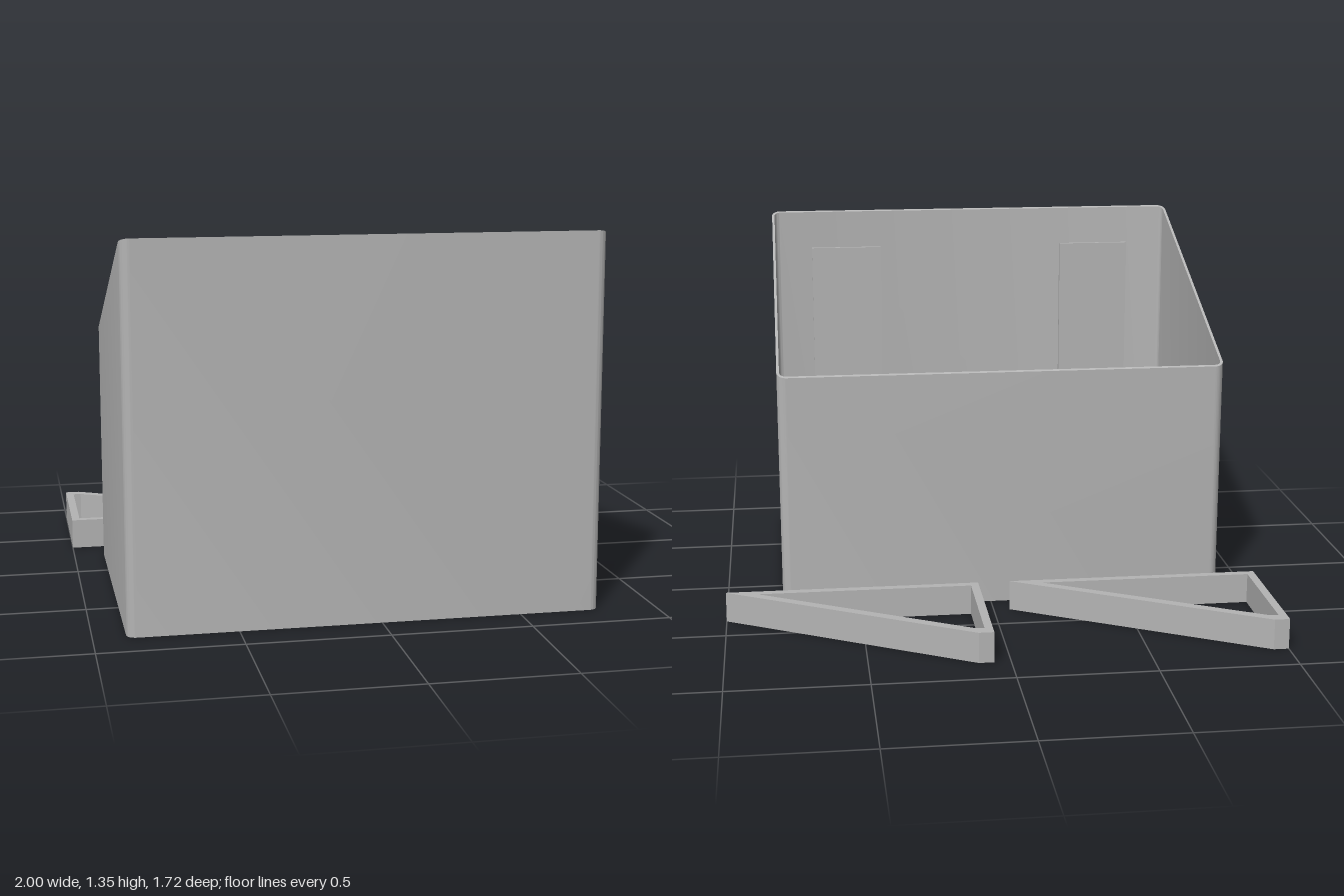
import * as THREE from 'three';
import { toCreasedNormals } from 'three/addons/utils/BufferGeometryUtils.js';

const X0 = -0.885, X1 = 0.79, Z0 = -0.263, Z1 = 0.858; // bin footprint
const WALL = 0.01, RADIUS = 0.035;

// Height of the sloping rim at a given depth
const rimHeight = (z) => 0.9 + (z - Z0) * (1.35 - 0.9) / (Z1 - Z0);

// Rounded rectangle of the footprint, drawn with y = -z
function footprint(Type, inset) {
  const r = RADIUS - inset;
  const l = X0 + inset, R = X1 - inset, b = -Z1 + inset, t = -Z0 - inset;
  const p = new Type();
  p.moveTo(l + r, b);
  p.lineTo(R - r, b);
  p.absarc(R - r, b + r, r, -Math.PI / 2, 0, false);
  p.lineTo(R, t - r);
  p.absarc(R - r, t - r, r, 0, Math.PI / 2, false);
  p.lineTo(l + r, t);
  p.absarc(l + r, t - r, r, Math.PI / 2, Math.PI, false);
  p.lineTo(l, b + r);
  p.absarc(l + r, b + r, r, Math.PI, Math.PI * 1.5, false);
  return p;
}

// Extrude a plan shape (y = -z) upwards from the ground
function extrudeUp(shape, depth) {
  return new THREE.ExtrudeGeometry(shape, { depth, bevelEnabled: false, curveSegments: 8 })
    .rotateX(-Math.PI / 2);
}

const planPoints = (list) => list.map(([x, z]) => new THREE.Vector2(x, -z));

export function createModel() {
  const model = new THREE.Group();
  const grey = new THREE.MeshStandardMaterial({ color: 0xb4b4b4 });
  grey.name = 'grey';
  const add = (name, geometry, parent = model) => {
    const mesh = new THREE.Mesh(geometry, grey);
    mesh.name = name;
    parent.add(mesh);
    return mesh;
  };

  const bin = new THREE.Group();
  bin.name = 'bin';
  model.add(bin);

  // Thin walls, with the top edge moved onto the slope
  const ring = footprint(THREE.Shape, 0);
  ring.holes.push(footprint(THREE.Path, WALL));
  const walls = extrudeUp(ring, 1);
  const pos = walls.attributes.position;
  for (let i = 0; i < pos.count; i++) {
    if (pos.getY(i) > 0.5) pos.setY(i, rimHeight(pos.getZ(i)));
  }
  add('walls', toCreasedNormals(walls, 0.6), bin);

  // Floor
  add('floor', toCreasedNormals(extrudeUp(footprint(THREE.Shape, WALL / 2), WALL), 0.6), bin);

  // Low ridges across the floor
  const ridge = new THREE.Shape(
    [[0, 0], [0.047, 0], [0.024, 0.045], [0.018, 0.045]].map(([z, y]) => new THREE.Vector2(-z, y)).reverse());
  const ridgeGeometry = new THREE.ExtrudeGeometry(ridge, { depth: X1 - X0 - WALL, bevelEnabled: false })
    .rotateY(Math.PI / 2);
  for (const z of [-0.225, -0.078, 0.112, 0.302, 0.492, 0.682]) {
    add('floorRidge', ridgeGeometry, bin).position.set(X0 + WALL / 2, WALL - 0.001, z);
  }

  // Raised strips inside the front wall
  for (const x of [-0.575, 0.482]) {
    add('innerStrip', new THREE.BoxGeometry(0.29, 1.19, 0.016), bin)
      .position.set(x, 0.6, Z1 - WALL - 0.007);
  }

  // Two hollow triangular brackets lying behind the bin
  const outline = new THREE.Shape(planPoints([[-1, -0.358], [-0.06, -0.358], [-0.945, -0.858], [-1, -0.858]]));
  outline.holes.push(new THREE.Path(planPoints([[-0.97, -0.388], [-0.97, -0.814], [-0.94, -0.814], [-0.18, -0.388]])));
  const bracket = extrudeUp(outline, 0.113);
  add('rightBracket', bracket);
  add('leftBracket', bracket).position.x = 1.06;

  return model;
}
